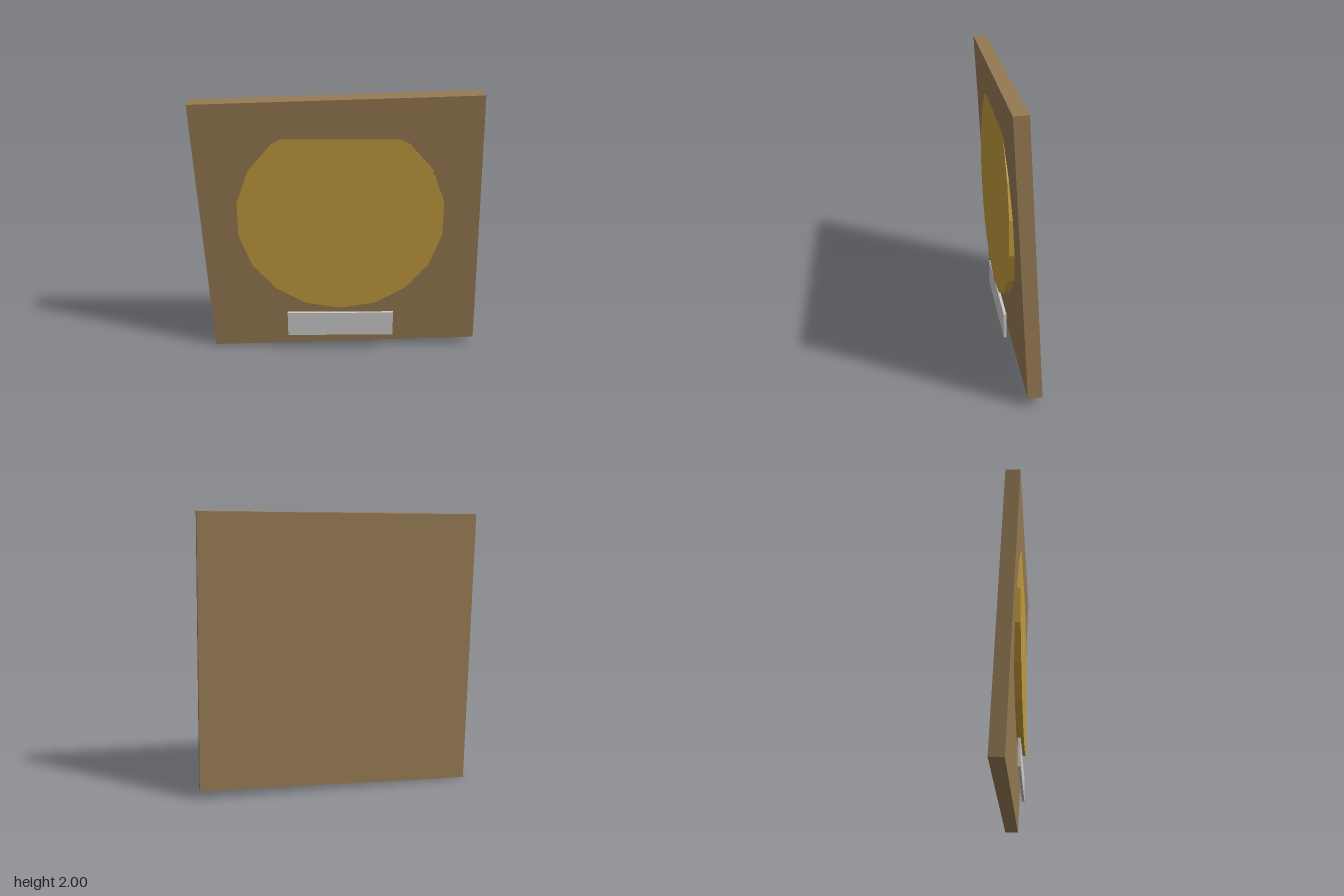
import * as THREE from 'three';

export function createModel() {
  const group = new THREE.Group();

  const addPart = (name, geometry, color, x, y, z) => {
    const material = new THREE.MeshStandardMaterial({ color, flatShading: true });
    const mesh = new THREE.Mesh(geometry, material);
    mesh.name = name;
    mesh.position.set(x, y, z);
    group.add(mesh);
    return mesh;
  };

  // Square wooden board, leaning forward and slightly askew
  const board = addPart('board', new THREE.BoxGeometry(1.94, 1.937, 0.097), 0x977b54, 0, 1, 0);
  board.rotation.set(0.05, 0, 0.031);

  // 18-sided gold disc with a corner at the bottom; its top sinks into the board
  const discGeometry = new THREE.CylinderGeometry(0.723, 0.723, 0.047, 18);
  discGeometry.rotateX(Math.PI / 2);
  addPart('disc', discGeometry, 0xc09a3c, 0, 1.098, 0.0595);

  // Blank name plate floating just in front of the board
  addPart('namePlate', new THREE.BoxGeometry(0.774, 0.193, 0.019), 0xcccccc, 0, 0.226, 0.06);

  return group;
}
